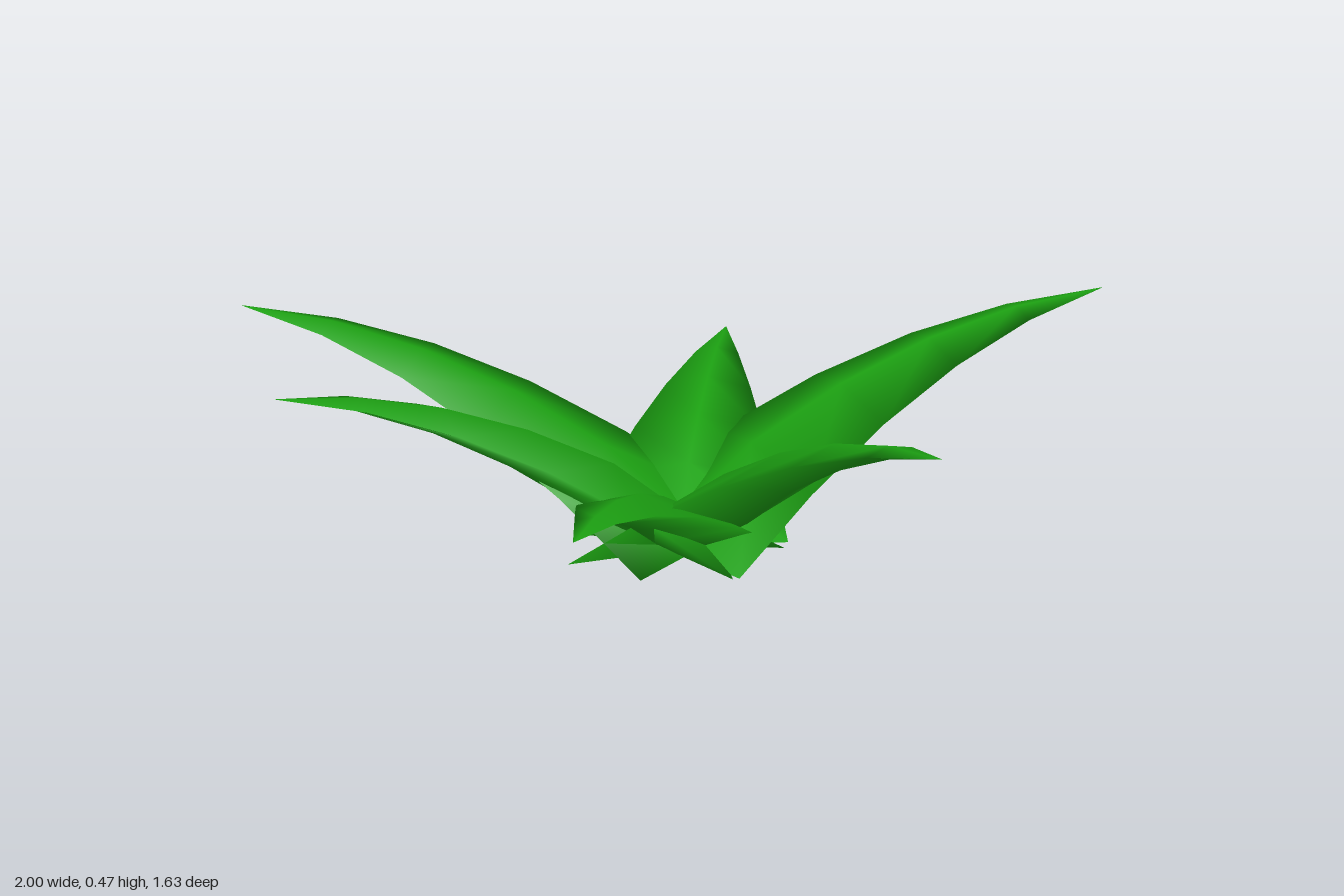
import * as THREE from 'three';

const material = new THREE.MeshStandardMaterial({ color: 0x1ca012 });
const center = new THREE.Vector3(-0.02, 0, -0.06);
const SEGMENTS = 5;

// A leaf: a diamond section lying on the ground, tapering to a point while arching outwards.
// Height along the leaf is rise * r - droop * r^2.
function makeLeaf({ x, z, halfWidth, halfThickness, rise, droop }) {
  const out = new THREE.Vector3(x - center.x, 0, z - center.z);
  const length = out.length();
  out.normalize();
  const across = new THREE.Vector3(-out.z, 0, out.x);
  const up = new THREE.Vector3(0, 1, 0);
  const positions = [];
  const index = [];

  for (let i = 0; i <= SEGMENTS; i++) {
    const t = i / SEGMENTS;
    const r = t * length;
    const taper = Math.max(1 - t, 0.004);
    const spine = center.clone().addScaledVector(out, r).addScaledVector(up, rise * r - droop * r * r);
    // The section is flat on the ground at the root, then square to the arch
    const tilt = i === 0 ? Math.PI / 2 : Math.atan(rise - 2 * droop * r);
    const normal = up.clone().multiplyScalar(Math.cos(tilt)).addScaledVector(out, -Math.sin(tilt));
    for (let j = 0; j < 4; j++) {
      const a = (j * Math.PI) / 2;
      const p = spine.clone()
        .addScaledVector(normal, Math.cos(a) * halfThickness * taper)
        .addScaledVector(across, Math.sin(a) * halfWidth * taper);
      positions.push(p.x, p.y, p.z);
    }
  }
  for (let i = 0; i < SEGMENTS; i++) {
    for (let j = 0; j < 4; j++) {
      const a = i * 4 + j;
      const b = i * 4 + ((j + 1) % 4);
      index.push(a, b, a + 4, b, b + 4, a + 4);
    }
  }
  // Flat underside with its own corners
  const base = positions.length / 3;
  positions.push(...positions.slice(0, 12));
  index.push(base, base + 3, base + 2, base, base + 2, base + 1);

  const geometry = new THREE.BufferGeometry();
  geometry.setAttribute('position', new THREE.Float32BufferAttribute(positions, 3));
  geometry.setIndex(index);
  geometry.computeVertexNormals();
  return new THREE.Mesh(geometry, material);
}

export function createModel() {
  const plant = new THREE.Group();
  plant.name = 'plant';

  const large = { halfWidth: 0.33, halfThickness: 0.08, rise: 0.8, droop: 0.34 };
  const small = { halfWidth: 0.25, halfThickness: 0.07, rise: 0.65, droop: 0.41 };
  const leaves = [
    ['largeLeafBackRight', -1, -0.48, large],
    ['largeLeafFrontRight', -1, 0.2, large],
    ['largeLeafFrontLeft', 0.49, 0.81, large],
    ['largeLeafBackLeft', 1, -0.385, large],
    ['smallLeafFront', -0.36, 0.71, small],
    ['smallLeafBack', 0.17, -0.82, small],
  ];
  for (const [name, x, z, shape] of leaves) {
    const leaf = makeLeaf({ x, z, ...shape });
    leaf.name = name;
    plant.add(leaf);
  }
  return plant;
}
